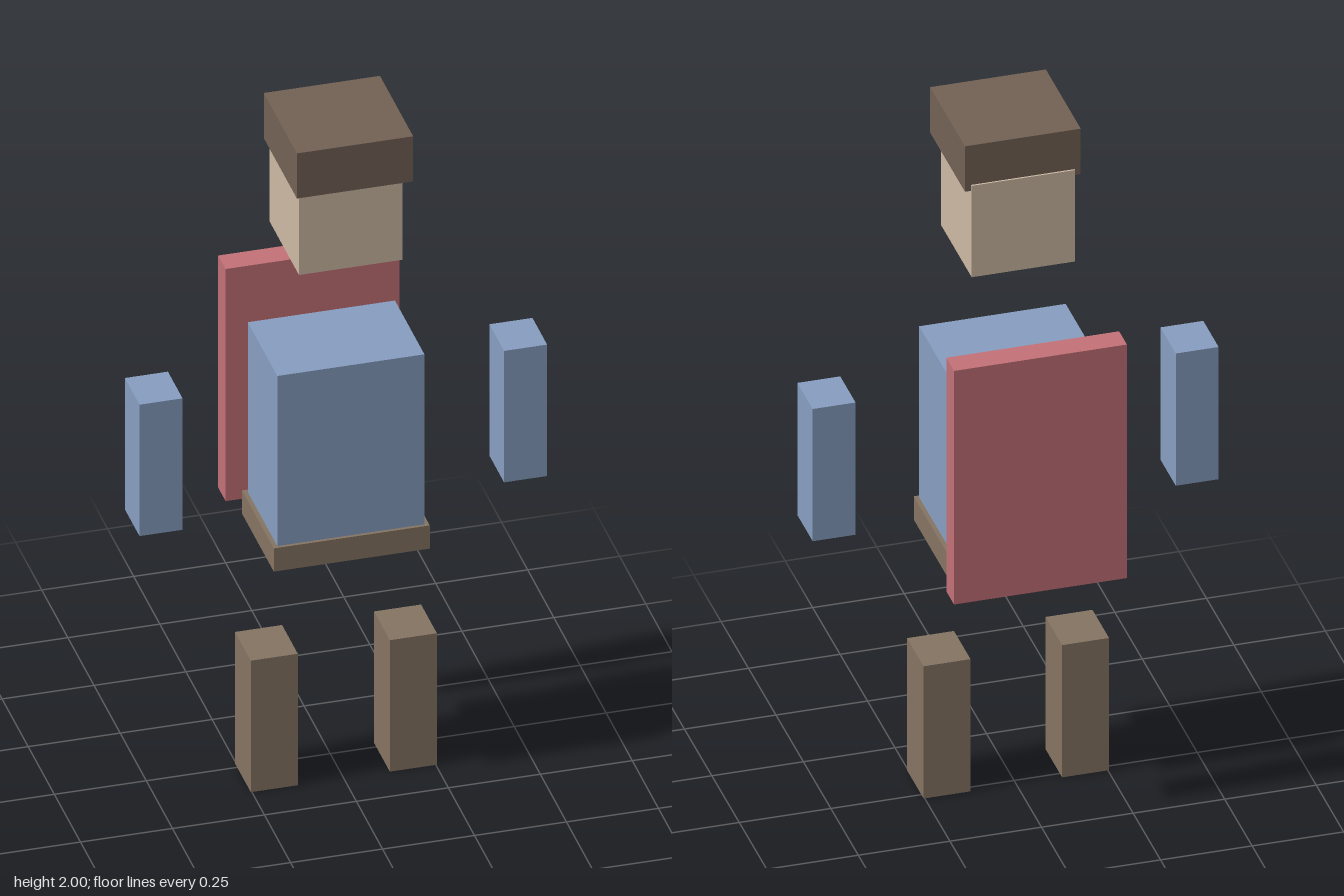
import * as THREE from 'three';

const SKIN = 0xcdb9a4, HAT = 0x736255, BROWN = 0x857463, BLUE = 0x879ec0, RED = 0xc37177;

// Box given by its extents along each axis
function block(name, color, [x0, x1], [y0, y1], [z0, z1]) {
  const mesh = new THREE.Mesh(
    new THREE.BoxGeometry(x1 - x0, y1 - y0, z1 - z0),
    new THREE.MeshStandardMaterial({ color })
  );
  mesh.position.set((x0 + x1) / 2, (y0 + y1) / 2, (z0 + z1) / 2);
  mesh.name = name;
  return mesh;
}

export function createModel() {
  const model = new THREE.Group();
  model.name = 'blockFigure';

  // Head with a flat cap that overhangs the face
  model.add(block('head', SKIN, [-0.141, 0.141], [1.602, 1.88], [-0.085, 0.197]));
  model.add(block('cap', HAT, [-0.158, 0.158], [1.862, 2], [-0.08, 0.237]));

  // Torso seated in a wider belt, cape floating behind
  model.add(block('torso', BLUE, [-0.2, 0.2], [0.714, 1.303], [-0.085, 0.197]));
  model.add(block('belt', BROWN, [-0.212, 0.212], [0.712, 0.783], [-0.098, 0.206]));
  model.add(block('cape', RED, [-0.236, 0.236], [0.712, 1.422], [-0.241, -0.17]));

  // Detached arms and legs, mirrored
  for (const [side, s] of [['left', 1], ['right', -1]]) {
    const span = (a, b) => (s > 0 ? [a, b] : [-b, -a]);
    model.add(block(side + 'Arm', BLUE, span(0.437, 0.554), [0.83, 1.232], [-0.015, 0.125]));
    model.add(block(side + 'Leg', BROWN, span(0.125, 0.253), [0, 0.402], [-0.021, 0.13]));
  }
  return model;
}
